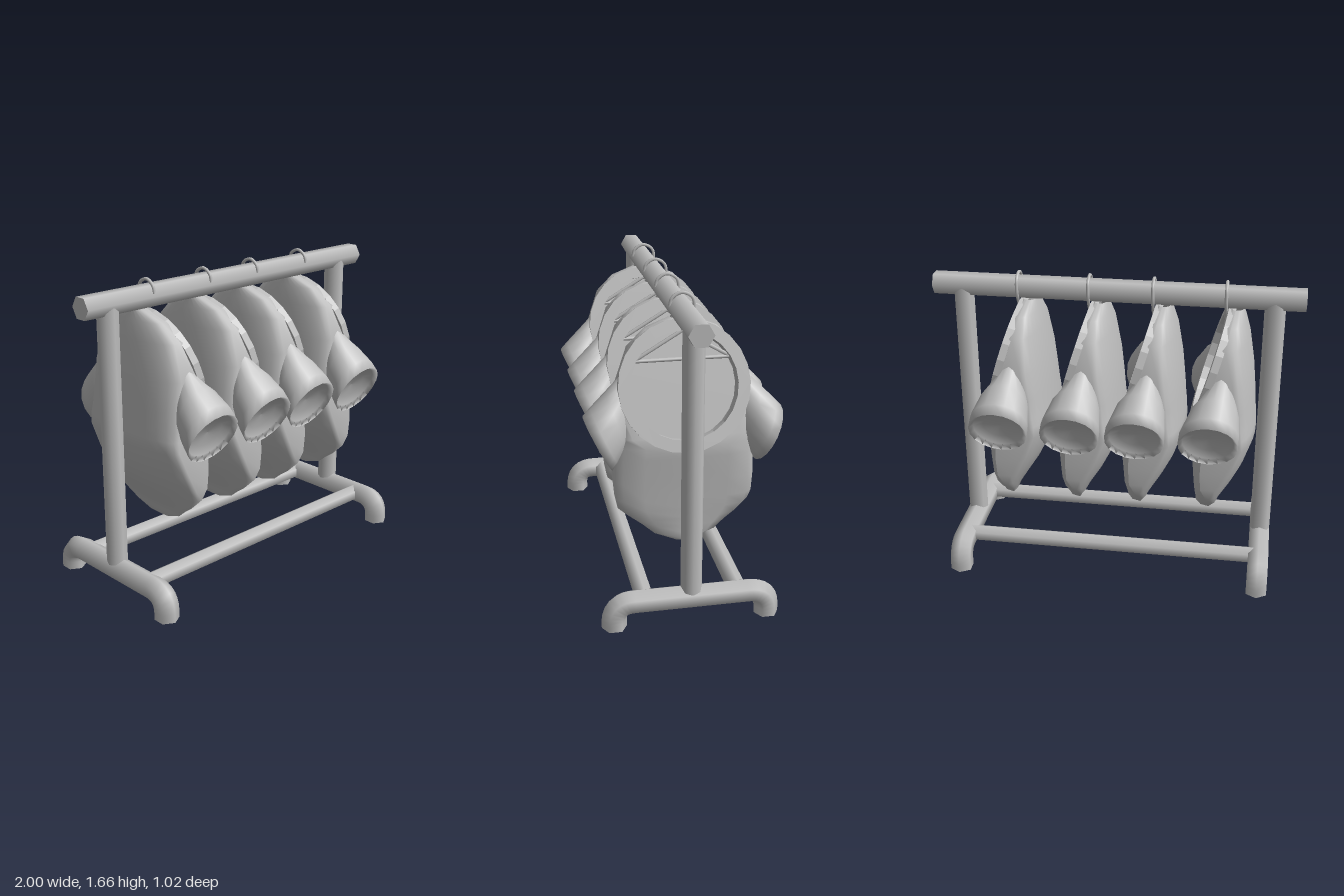
import * as THREE from 'three';

const V = (x, y, z) => new THREE.Vector3(x, y, z);
const grey = new THREE.MeshStandardMaterial({ color: 0xbebebe, side: THREE.DoubleSide });
grey.name = 'plain grey';

function add(parent, name, geometry, x = 0, y = 0, z = 0) {
  const mesh = new THREE.Mesh(geometry, grey);
  mesh.name = name;
  mesh.position.set(x, y, z);
  parent.add(mesh);
  return mesh;
}

// Joins rows of points into a smooth skin; closed wraps each row around.
function loft(rows, closed) {
  const n = rows[0].length;
  const index = [];
  for (let r = 0; r < rows.length - 1; r++) {
    for (let i = 0; i < (closed ? n : n - 1); i++) {
      const j = (i + 1) % n;
      const a = r * n + i, b = r * n + j, c = a + n, d = b + n;
      index.push(a, c, b, b, c, d);
    }
  }
  const g = new THREE.BufferGeometry().setFromPoints(rows.flat());
  g.setIndex(index);
  g.computeVertexNormals();
  return g;
}

// Shirt levels: height, half width, front x, front crease x, back crease x, back x
const LEVELS = [
  [1.52, 0.05, -0.615, -0.635, -0.65, -0.68],
  [1.47, 0.185, -0.595, -0.62, -0.64, -0.695],
  [1.38, 0.275, -0.57, -0.6, -0.64, -0.72],
  [1.2, 0.332, -0.52, -0.55, -0.65, -0.75],
  [1.05, 0.335, -0.475, -0.52, -0.67, -0.765],
  [0.95, 0.345, -0.445, -0.51, -0.68, -0.772],
  [0.9, 0.35, -0.43, -0.505, -0.69, -0.777],
  [0.84, 0.357, -0.435, -0.505, -0.69, -0.78],
  [0.7, 0.36, -0.45, -0.5, -0.63, -0.735],
  [0.6, 0.355, -0.458, -0.505, -0.58, -0.685],
  [0.54, 0.344, -0.463, -0.535, -0.56, -0.645],
  [0.485, 0.295, -0.467, -0.565, -0.57, -0.607],
  [0.445, 0.238, -0.469, -0.56, -0.562, -0.578],
  [0.395, 0.175, -0.47, -0.545, -0.546, -0.552],
  [0.36, 0.07, -0.47, -0.538, -0.54, -0.543],
];

function shirtBody() {
  const rows = LEVELS.map(([y, w, front, crease, edge, back]) => {
    // The front is left open inside the neck circle
    const k = 1 - ((y - 1.2) / 0.3) ** 2;
    const open = Math.min(k > 0 ? 0.31 * Math.sqrt(k) : 0, w * 0.92);
    const span = w - open;
    // The crease point is doubled to keep that edge sharp
    const half = [
      V(front, y, open),
      V(front, y, open + span * 0.6),
      V(front + (crease - front) * 0.4, y, open + span * 0.9),
      V(crease, y, w),
      V(crease, y, w),
    ];
    for (let i = 0; i <= 6; i++) {
      const t = (i / 6) * Math.PI / 2;
      half.push(V(edge + (back - edge) * Math.sin(t), y, w * Math.cos(t)));
    }
    const other = half.slice(0, -1).reverse().map(p => V(p.x, p.y, -p.z));
    return [...half, ...other];
  });
  // Close the hem
  rows.push(rows[0].map(() => V(-0.505, 0.36, 0)));
  return loft(rows, false);
}

// Flared sleeve with a dished cuff
function sleeve(side) {
  const ring = (c, up, rx) => {
    const pts = [];
    for (let i = 0; i < 18; i++) {
      const a = (i / 18) * Math.PI * 2;
      pts.push(V(c.x + rx * Math.sin(a), c.y + up.y * Math.cos(a), side * (c.z + up.z * Math.cos(a))));
    }
    return pts;
  };
  const end = V(-0.54, 0.91, 0.44);
  const up = V(0, 0.14, 0.071);
  const inward = V(0, 0.45, -0.89);
  const rows = [
    ring(V(-0.59, 1.105, 0.28), V(0, 0.14, 0.035), 0.07),
    ring(V(-0.56, 1.025, 0.345), V(0, 0.142, 0.05), 0.132),
    ring(V(-0.543, 0.95, 0.408), V(0, 0.142, 0.064), 0.156),
    ring(end, up, 0.157),
  ];
  for (const [scale, depth] of [[0.86, 0.022], [0.55, 0.042], [0, 0.05]]) {
    rows.push(ring(end.clone().addScaledVector(inward, depth), up.clone().multiplyScalar(scale), 0.157 * scale));
  }
  return loft(rows, true);
}

// Turns a part drawn facing +z to face the tilted neck opening
const faceNeck = g => g.rotateY(Math.PI / 2).rotateZ(0.284);

function neckRing() {
  const shape = new THREE.Shape().absarc(0, 0, 0.338, 0, Math.PI * 2);
  shape.holes.push(new THREE.Path().absarc(0, 0, 0.275, 0, Math.PI * 2, true));
  const g = new THREE.ExtrudeGeometry(shape, { depth: 0.04, bevelEnabled: false, curveSegments: 12 });
  return faceNeck(g.translate(0, 0, -0.04));
}

// Shallow recess inside the neck: wall and floor
function neckWall() {
  const g = new THREE.CylinderGeometry(0.275, 0.275, 0.035, 24, 1, true).rotateX(Math.PI / 2);
  return faceNeck(g.translate(0, 0, -0.0575));
}
const neckFloor = () => faceNeck(new THREE.CircleGeometry(0.275, 24).translate(0, 0, -0.075));

function garment() {
  const g = new THREE.Group();
  g.name = 'hangingShirt';
  add(g, 'shirtBody', shirtBody());
  add(g, 'neckRing', neckRing(), -0.505, 1.2, 0);
  add(g, 'neckWall', neckWall(), -0.505, 1.2, 0);
  add(g, 'neckFloor', neckFloor(), -0.505, 1.2, 0);
  add(g, 'leftSleeve', sleeve(1));
  add(g, 'rightSleeve', sleeve(-1));
  const hook = [[1.59, 0.064], [1.63, 0.052], [1.657, 0.003], [1.63, -0.05], [1.57, -0.06], [1.51, -0.035], [1.46, 0]];
  const curve = new THREE.CatmullRomCurve3(hook.map(([y, z]) => V(-0.585, y, z)));
  add(g, 'hangerHook', new THREE.TubeGeometry(curve, 36, 0.009, 6));
  // Triangular hanger frame
  const corners = [V(-0.595, 1.46, 0), V(-0.585, 1.315, 0.25), V(-0.585, 1.315, -0.25)];
  corners.forEach((p, i) => {
    const line = new THREE.LineCurve3(p, corners[(i + 1) % 3]);
    add(g, 'hangerFrame', new THREE.TubeGeometry(line, 1, 0.01, 6));
  });
  return g;
}

// Bent pipe foot, running front to back
function footPipe() {
  const h = 0.135, z = 0.4, b = 0.1;
  const path = new THREE.CurvePath();
  path.add(new THREE.LineCurve3(V(0, 0, z), V(0, h - b, z)));
  path.add(new THREE.QuadraticBezierCurve3(V(0, h - b, z), V(0, h, z), V(0, h, z - b)));
  path.add(new THREE.LineCurve3(V(0, h, z - b), V(0, h, b - z)));
  path.add(new THREE.QuadraticBezierCurve3(V(0, h, b - z), V(0, h, -z), V(0, h - b, -z)));
  path.add(new THREE.LineCurve3(V(0, h - b, -z), V(0, 0, -z)));
  return new THREE.TubeGeometry(path, 44, 0.065, 6);
}

export function createModel() {
  const model = new THREE.Group();
  model.name = 'clothesRack';
  const midZ = 0.013;

  // Rail and lower bars
  add(model, 'topRail', new THREE.CylinderGeometry(0.063, 0.063, 2, 6).rotateZ(Math.PI / 2), 0, 1.575, midZ);
  for (const z of [-0.25, 0.24]) {
    const bar = new THREE.CylinderGeometry(0.048, 0.048, 1.64, 6, 1, false, Math.PI / 2).rotateZ(Math.PI / 2);
    add(model, 'lowerBar', bar, 0, 0.138, z + midZ);
  }

  // Posts and feet at each end
  for (const x of [-0.84, 0.84]) {
    add(model, 'post', new THREE.CylinderGeometry(0.056, 0.056, 1.39, 8), x, 0.865, midZ);
    add(model, 'foot', footPipe(), x, 0, midZ);
    for (const z of [-0.4, 0.4]) {
      const cap = new THREE.CircleGeometry(0.065, 6, Math.PI / 2).rotateX(Math.PI / 2);
      add(model, 'footCap', cap, x, 0, z + midZ);
    }
  }

  // Row of shirts
  for (const offset of [0, 0.385, 0.73, 1.115]) {
    const shirt = garment();
    shirt.position.set(offset, 0, 0.004);
    model.add(shirt);
  }
  return model;
}
